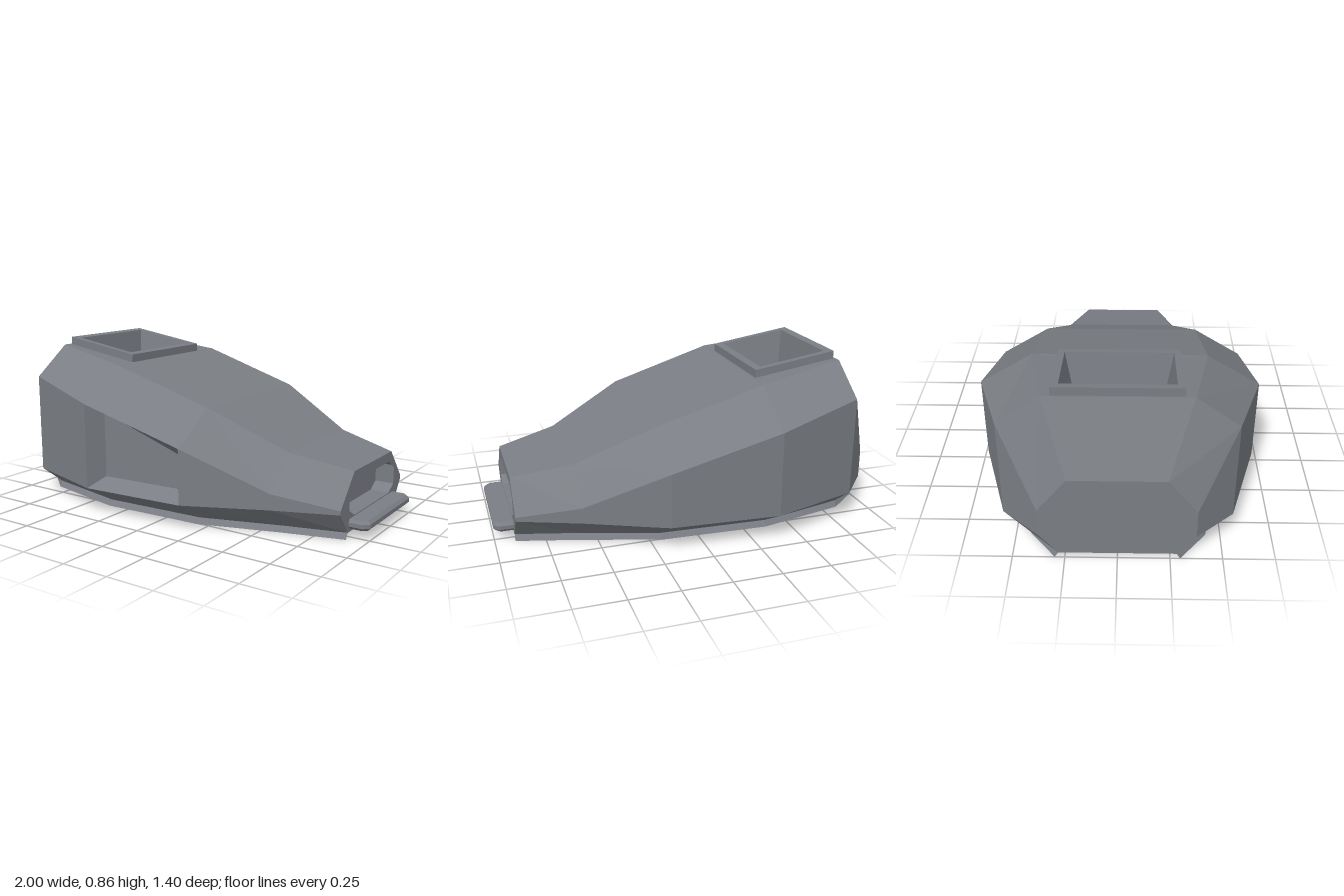
import * as THREE from 'three';

const greyMetal = new THREE.MeshStandardMaterial({ color: 0x7a7e84, side: THREE.DoubleSide });

// Flat-faced mesh from a list of convex polygons
function facetMesh(name, polys) {
  const pos = [];
  for (const p of polys) {
    for (let i = 1; i < p.length - 1; i++) pos.push(...p[0], ...p[i], ...p[i + 1]);
  }
  const g = new THREE.BufferGeometry();
  g.setAttribute('position', new THREE.Float32BufferAttribute(pos, 3));
  g.computeVertexNormals();
  const mesh = new THREE.Mesh(g, greyMetal);
  mesh.name = name;
  return mesh;
}

// Quads joining two matching closed loops
function bridge(a, b) {
  return a.map((p, j) => {
    const k = (j + 1) % a.length;
    return [p, a[k], b[k], b[j]];
  });
}

// Half profile mirrored across z = 0 into a closed loop
function mirrorLoop(x, half) {
  return [
    ...half.map(([z, y]) => [x, y, z]),
    ...half.slice().reverse().map(([z, y]) => [x, y, -z]),
  ];
}

export function createModel() {
  const group = new THREE.Group();
  group.name = 'armouredHull';

  // Hull stations: x, top y, top half width, shoulder y, side half width, bottom half width
  const stations = [
    [-1, 0.47, 0.23, 0.29, 0.37, 0.28],
    [-0.84, 0.815, 0.345, 0.66, 0.555, 0.41],
    [-0.37, 0.745, 0.435, 0.58, 0.7, 0.515],
    [0.19, 0.575, 0.415, 0.42, 0.665, 0.49],
    [0.59, 0.38, 0.3, 0.22, 0.485, 0.365],
    [0.9, 0.32, 0.225, 0.16, 0.365, 0.28],
  ];
  const loops = stations.map(([x, ty, tz, sy, sz, bz]) =>
    mirrorLoop(x, [[tz, ty], [sz, sy], [sz, 0.14], [bz, 0.03]]));

  // Shell panels, leaving out the roof panel and the window panel
  const shell = [];
  let roofPanel, windowPanel;
  for (let i = 0; i < loops.length - 1; i++) {
    const a = loops[i], b = loops[i + 1];
    for (let j = 0; j < 8; j++) {
      const k = (j + 1) % 8;
      const quad = [a[j], a[k], b[k], b[j]];
      if (i === 1 && j === 7) roofPanel = quad;
      else if (i === 2 && j === 1) windowPanel = quad;
      else shell.push(quad);
    }
  }
  shell.push(loops[0].slice().reverse());

  // Raised roof hatch with a tapered well
  const roofLoop = (x0, x1, z, y) =>
    [[x0, -z], [x0, z], [x1, z], [x1, -z]].map(([x, w]) => [x, y - (x + 0.83) * 0.155, w]);
  const rimBase = roofLoop(-0.83, -0.385, 0.3, 0.813);
  const rimTop = roofLoop(-0.83, -0.385, 0.3, 0.855);
  const wellTop = roofLoop(-0.79, -0.425, 0.265, 0.855);
  const wellFloor = roofLoop(-0.745, -0.475, 0.2, 0.49);
  shell.push(...bridge(roofPanel, rimBase));
  group.add(facetMesh('hatchRim', [...bridge(rimBase, rimTop), ...bridge(rimTop, wellTop)]));
  group.add(facetMesh('hatchWell', [...bridge(wellTop, wellFloor), wellFloor]));

  // Recessed side window
  const pane = [[-0.32, 0.53], [-0.32, 0.19], [0.13, 0.19], [0.13, 0.365]]
    .map(([x, y]) => [x, y, 0.61 - (x + 0.37) * 0.0625]);
  group.add(facetMesh('sideWindowRecess', [...bridge(windowPanel, pane), pane]));

  // Nose face with a recessed slot
  const slotHalf = [[0.2, 0.27], [0.27, 0.235], [0.27, 0.135], [0.21, 0.1]];
  const slotFront = mirrorLoop(0.9, slotHalf);
  const slotBack = mirrorLoop(0.8, slotHalf);
  shell.push(...bridge(loops[5], slotFront));
  group.add(facetMesh('noseSlot', [...bridge(slotFront, slotBack), slotBack]));

  group.add(facetMesh('hullShell', shell));

  // Flared skirts along both lower edges
  for (const side of [1, -1]) {
    const strips = [];
    for (let i = 0; i < stations.length - 1; i++) {
      const [xa, za] = [stations[i][0], stations[i][5]];
      const [xb, zb] = [stations[i + 1][0], stations[i + 1][5]];
      const quad = [
        [xa, 0.03, side * za], [xa, 0, side * (za + 0.018)],
        [xb, 0, side * (zb + 0.018)], [xb, 0.03, side * zb],
      ];
      strips.push(side > 0 ? quad : quad.reverse());
    }
    group.add(facetMesh(side > 0 ? 'frontSkirt' : 'backSkirt', strips));
  }

  // Bevelled lip below the nose slot
  const outline = new THREE.Shape([
    [0.9, -0.26], [0.965, -0.26], [0.985, -0.24],
    [0.985, 0.24], [0.965, 0.26], [0.9, 0.26],
  ].map(([x, z]) => new THREE.Vector2(x, z)));
  const lipGeometry = new THREE.ExtrudeGeometry(outline, {
    depth: 0.02, bevelEnabled: true, bevelSize: 0.015, bevelThickness: 0.015, bevelSegments: 1,
  });
  lipGeometry.rotateX(-Math.PI / 2);
  const lip = new THREE.Mesh(lipGeometry, greyMetal);
  lip.name = 'noseLip';
  lip.position.y = 0.06;
  group.add(lip);

  return group;
}
